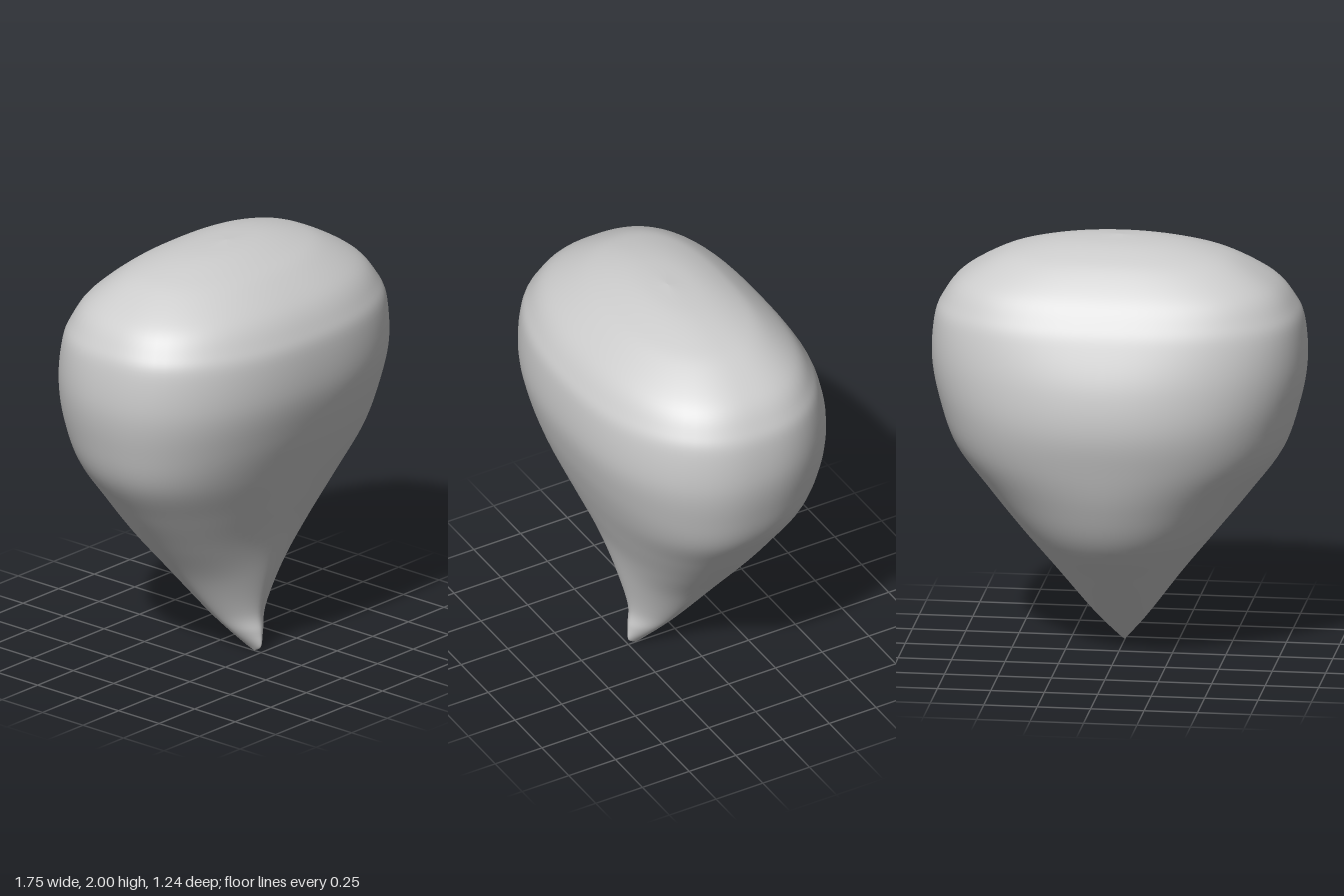
import * as THREE from 'three';

// Cross-sections: height, half width, widest z, front z, back z, front and back roundness
const SECTIONS = [
  [0.00, 0.00, 0.21, 0.21, 0.21, 1.6, 2.0],
  [0.03, 0.022, 0.19, 0.25, 0.15, 1.6, 2.0],
  [0.10, 0.08, 0.15, 0.25, 0.07, 1.6, 2.0],
  [0.20, 0.155, 0.10, 0.24, -0.03, 1.6, 2.0],
  [0.40, 0.30, 0.05, 0.285, -0.22, 1.8, 2.0],
  [0.60, 0.46, 0.04, 0.34, -0.40, 2.1, 2.0],
  [0.80, 0.62, 0.04, 0.42, -0.505, 2.2, 2.0],
  [1.00, 0.765, 0.04, 0.50, -0.575, 2.3, 2.1],
  [1.20, 0.835, 0.04, 0.57, -0.62, 2.3, 2.15],
  [1.40, 0.872, 0.04, 0.615, -0.605, 2.3, 2.25],
  [1.60, 0.86, 0.04, 0.61, -0.54, 2.3, 2.5],
  [1.70, 0.82, 0.03, 0.575, -0.49, 2.3, 2.6],
  [1.80, 0.74, 0.02, 0.505, -0.42, 2.3, 2.7],
  [1.90, 0.58, 0.01, 0.375, -0.31, 2.2, 2.6],
  [1.95, 0.44, 0.02, 0.27, -0.225, 2.1, 2.4],
  [1.985, 0.25, 0.03, 0.16, -0.11, 2.0, 2.2],
  [2.00, 0.00, 0.04, 0.04, 0.04, 2.0, 2.0],
];

// Smooth curve through three columns of the section list
const columns = (a, b, c) => new THREE.CatmullRomCurve3(
  SECTIONS.map(s => new THREE.Vector3(s[a], s[b], s[c])), false, 'catmullrom', 0.5);

function loftGeometry(rows, sides) {
  const sizes = columns(0, 1, 2), depths = columns(3, 4, 4), powers = columns(5, 6, 6);
  const positions = [], index = [];
  for (let i = 0; i <= rows; i++) {
    const t = i / rows;
    const { x: y, y: width, z: mid } = sizes.getPoint(t);
    const { x: front, y: back } = depths.getPoint(t);
    const { x: frontPower, y: backPower } = powers.getPoint(t);
    for (let j = 0; j < sides; j++) {
      const a = (j / sides) * Math.PI * 2, c = Math.cos(a), s = Math.sin(a);
      // Superellipse with separate front and back halves
      const power = s >= 0 ? frontPower : backPower;
      const r = Math.pow(Math.abs(c) ** power + Math.abs(s) ** power, -1 / power);
      const depth = s >= 0 ? front - mid : mid - back;
      positions.push(Math.max(width, 0) * c * r, Math.min(Math.max(y, 0), 2), mid + depth * s * r);
      if (i < rows) {
        const p = i * sides + j, q = i * sides + (j + 1) % sides;
        index.push(p, p + sides, q, q, p + sides, q + sides);
      }
    }
  }
  const geometry = new THREE.BufferGeometry();
  geometry.setAttribute('position', new THREE.Float32BufferAttribute(positions, 3));
  geometry.setIndex(index);
  geometry.computeVertexNormals();
  return geometry;
}

export function createModel() {
  const group = new THREE.Group();
  group.name = 'teardropForm';

  // Rounded body tapering to a tip set towards the front
  const body = new THREE.Mesh(loftGeometry(96, 72), new THREE.MeshStandardMaterial({ color: 0xcccccc }));
  body.name = 'body';
  group.add(body);
  return group;
}
